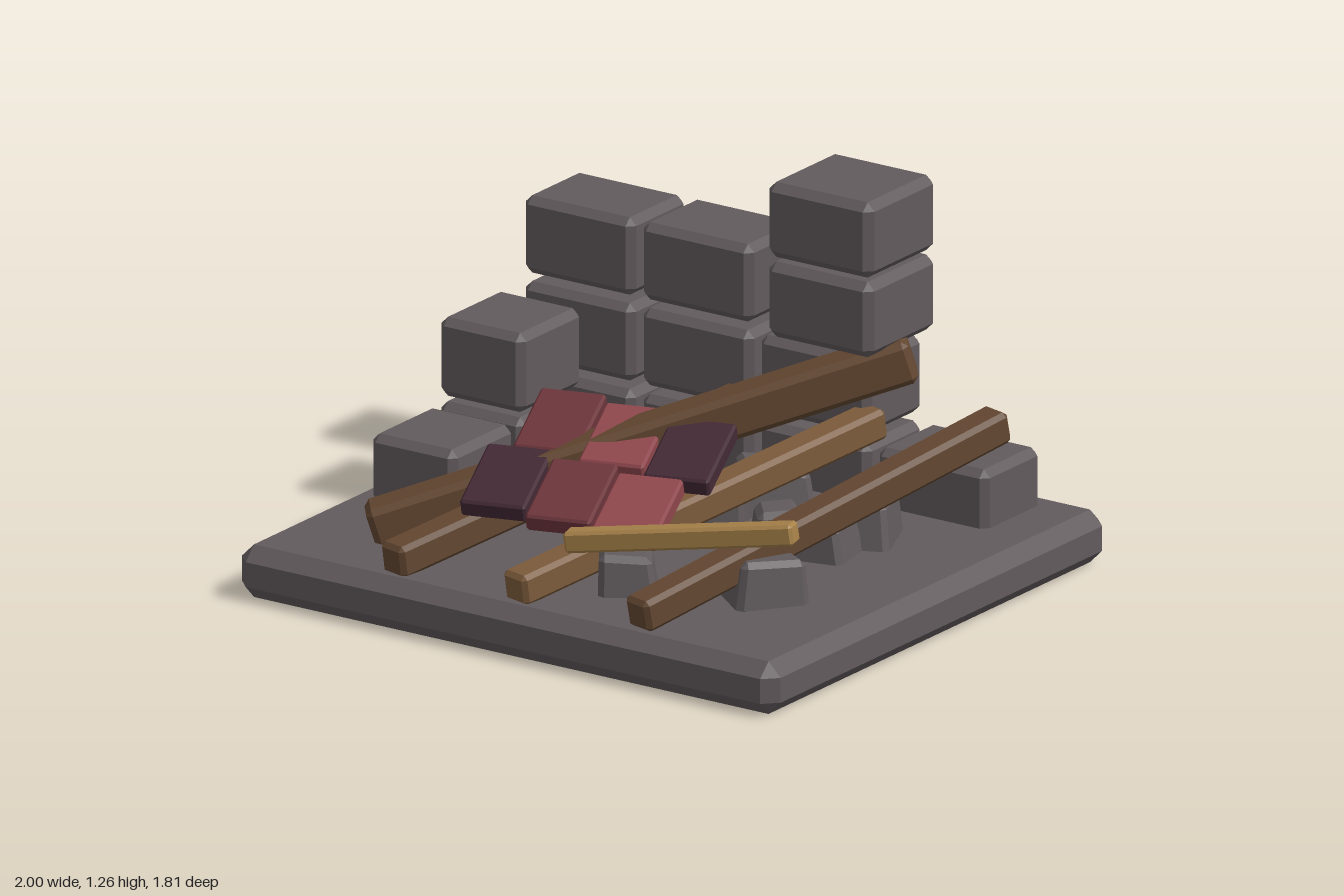
import * as THREE from 'three';
import { ConvexGeometry } from 'three/addons/geometries/ConvexGeometry.js';

const mat = (name, color) => {
  const m = new THREE.MeshStandardMaterial({ color, flatShading: true });
  m.name = name;
  return m;
};

// Box with every edge chamfered by c; the top can be narrowed by taper and shifted by lean
function chamferBox(w, h, d, c, taper = 1, lean = 0) {
  const pts = [];
  for (const sx of [-1, 1]) for (const sy of [-1, 1]) for (const sz of [-1, 1]) {
    for (const [a, b, e] of [[0, c, c], [c, 0, c], [c, c, 0]]) {
      const p = new THREE.Vector3(sx * (w / 2 - a), sy * (h / 2 - b), sz * (d / 2 - e));
      const t = p.y / h + 0.5;
      const k = 1 + (taper - 1) * t;
      pts.push(p.set(p.x * k + lean * t, p.y, p.z * k));
    }
  }
  return new ConvexGeometry(pts);
}

export function createModel() {
  const model = new THREE.Group();
  model.name = 'ruin';
  const stone = mat('stone grey', 0x625b5e);
  const darkWood = mat('dark wood', 0x634731);
  const midWood = mat('mid wood', 0x7c5b3b);
  const paleWood = mat('pale wood', 0xa68149);
  const tileRed = mat('tile red', 0x6c353b);
  const tileLight = mat('tile light red', 0x8e464c);
  const tileDark = mat('tile dark', 0x432935);

  const add = (name, geometry, material, x, y, z) => {
    const mesh = new THREE.Mesh(geometry, material);
    mesh.name = name;
    mesh.position.set(x, y, z);
    model.add(mesh);
    return mesh;
  };

  // Ground slab
  add('groundSlab', chamferBox(2, 0.17, 1.81, 0.045), stone, 0, 0.085, 0);

  // Back wall, stepping down towards its left end
  const backBlock = chamferBox(0.41, 0.25, 0.3, 0.024);
  [4, 3, 2].forEach((count, row) => {
    for (let i = 0; i < count; i++)
      add('backWallBlock', backBlock, stone, -0.715 + i * 0.438, 0.23 + row * 0.277, -0.67);
  });

  // Side wall: two courses at the back, one in front
  const sideBlock = chamferBox(0.315, 0.255, 0.33, 0.024);
  for (const [y, z] of [[0.245, -0.235], [0.517, -0.235], [0.245, 0.13]])
    add('sideWallBlock', sideBlock, stone, -0.763, y, z);

  // Two blocks resting high on the fallen beam
  const highBlock = chamferBox(0.39, 0.243, 0.365, 0.026);
  for (const y of [0.883, 1.14]) add('highBlock', highBlock, stone, 0.393, y, -0.393);

  // Timbers, each running between two end centres
  const beam = (name, material, w, h, from, to) => {
    const a = new THREE.Vector3(...from), b = new THREE.Vector3(...to);
    const mid = a.clone().add(b).multiplyScalar(0.5);
    const mesh = add(name, chamferBox(w, h, a.distanceTo(b), Math.min(w, h) * 0.14), material, mid.x, mid.y, mid.z);
    mesh.lookAt(b);
  };
  beam('mainBeam', darkWood, 0.14, 0.14, [-0.7, 0.205, 0.605], [0.605, 0.725, -0.415]);
  beam('leftBeam', darkWood, 0.105, 0.105, [-0.455, 0.21, 0.845], [-0.1, 0.41, -0.565]);
  beam('middleBeam', midWood, 0.105, 0.1, [0.0, 0.21, 0.845], [0.37, 0.43, -0.565]);
  beam('rightBeam', darkWood, 0.105, 0.105, [0.455, 0.215, 0.845], [0.82, 0.505, -0.575]);
  beam('plank', paleWood, 0.068, 0.068, [0.095, 0.345, 0.7], [0.815, 0.457, 0.513]);

  // Fallen patch of roof tiles, two sloping rows of three
  const tile = chamferBox(0.21, 0.06, 0.3, 0.008);
  const rows = [[tileRed, tileLight, tileDark], [tileDark, tileRed, tileLight]];
  rows.forEach((row, r) => row.forEach((material, i) => {
    const mesh = add('roofTile', tile, material, -0.31 + i * 0.242, 0.474 - r * 0.098, 0.15 + r * 0.285);
    mesh.rotation.set(0.33, 0.29, 0, 'YXZ');
  }));

  // Rubble: x, z, width, height, depth, yaw
  const rubble = [
    [0.14, -0.36, 0.24, 0.17, 0.24, 0.75],
    [0.07, -0.11, 0.22, 0.15, 0.2, 0.5],
    [0.52, -0.06, 0.22, 0.16, 0.2, 0.22],
    [0.6, 0.375, 0.22, 0.17, 0.24, -0.65],
    [0.22, 0.54, 0.19, 0.16, 0.19, 0.6],
    [-0.51, 0.08, 0.2, 0.14, 0.25, -0.35],
    [0.55, -0.26, 0.2, 0.18, 0.25, 0.4],
    [0.33, -0.06, 0.15, 0.15, 0.16, 0.7],
  ];
  rubble.forEach(([x, z, w, h, d, yaw], i) => {
    const lean = i % 2 ? 0.02 : -0.02;
    const mesh = add('rubbleStone', chamferBox(w, h, d, 0.02, 0.84, lean), stone, x, 0.135 + h / 2, z);
    mesh.rotation.set(0.06 * (i % 3 - 1), yaw, lean * 3);
  });

  return model;
}
